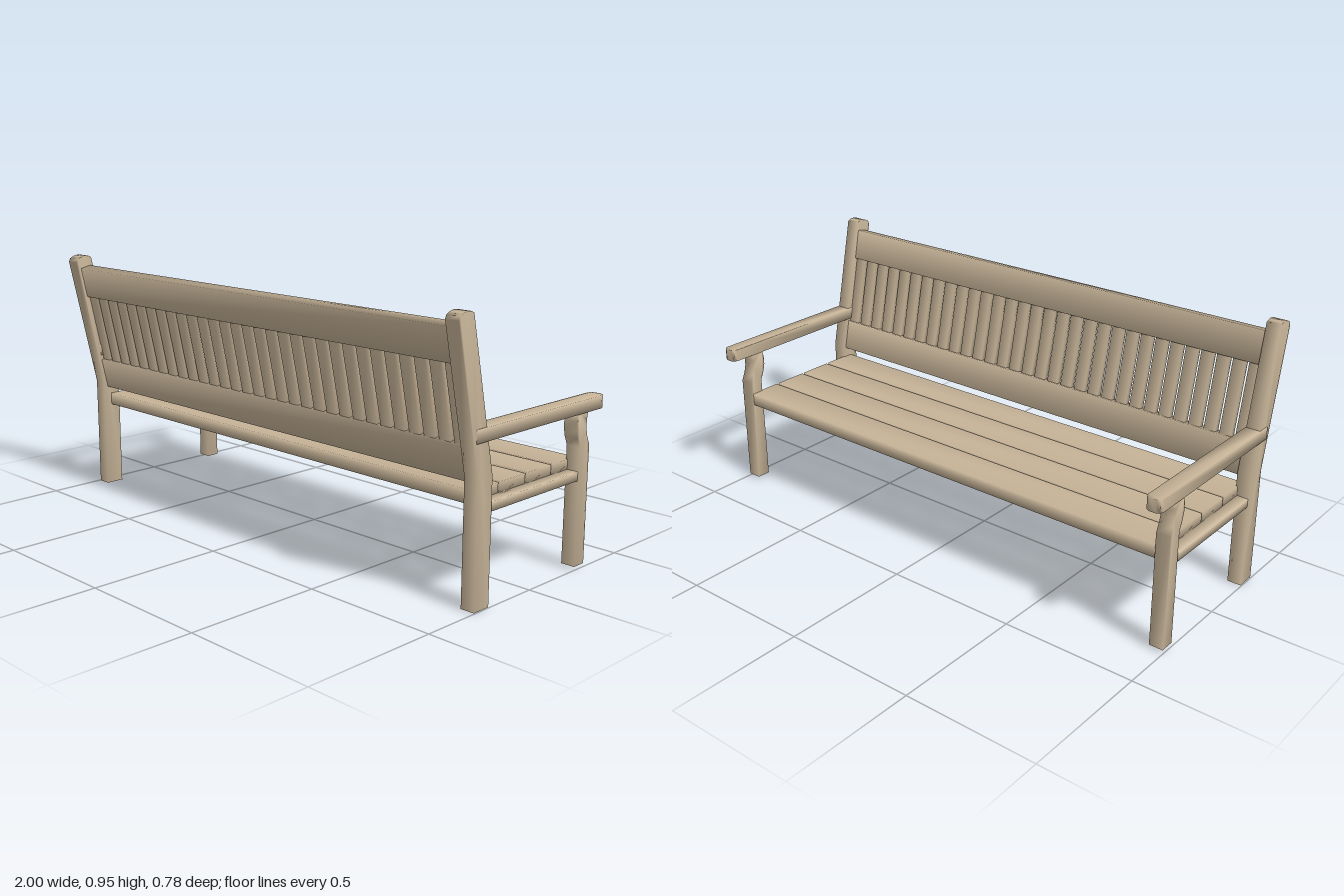
import * as THREE from 'three';
import { mergeVertices } from 'three/addons/utils/BufferGeometryUtils.js';

const LEAN = 0.212; // backrest tilt in radians
const wood = new THREE.MeshStandardMaterial({ color: 0xc8b599 });

// Weld the corners so the shading runs softly around each timber
function soften(geometry) {
  geometry.deleteAttribute('normal');
  geometry.deleteAttribute('uv');
  const welded = mergeVertices(geometry, 1e-4);
  welded.computeVertexNormals();
  return welded;
}

function addPart(parent, name, geometry, x = 0, y = 0, z = 0) {
  const mesh = new THREE.Mesh(soften(geometry), wood);
  mesh.name = name;
  mesh.position.set(x, y, z);
  parent.add(mesh);
  return mesh;
}

function extrude(points, depth) {
  const shape = new THREE.Shape(points.map(([a, b]) => new THREE.Vector2(a, b)));
  const geometry = new THREE.ExtrudeGeometry(shape, { depth, bevelEnabled: false });
  return geometry.translate(0, 0, -depth / 2);
}

// Side profile given as [z, y], with its thickness along x
const sideProfile = (points, width) => extrude(points, width).rotateY(-Math.PI / 2);

// Plan outline given as [x, -z], with its thickness along y
const planProfile = (points, height) => extrude(points, height).rotateX(-Math.PI / 2);

// z of the backrest centre plane at height y
const backZ = (y) => 0.246 + (y - 0.43) * Math.tan(LEAN);

export function createModel() {
  const bench = new THREE.Group();
  bench.name = 'gardenBench';

  const postProfile = [
    [0.21, 0], [0.282, 0], [0.282, 0.43], [0.392, 0.93], [0.386, 0.943],
    [0.37, 0.951], [0.35, 0.955], [0.334, 0.953], [0.322, 0.947], [0.21, 0.43],
  ];
  const legProfile = [
    [-0.312, 0.01], [-0.258, 0.01], [-0.258, 0.43], [-0.244, 0.462], [-0.237, 0.49],
    [-0.237, 0.52], [-0.243, 0.55], [-0.298, 0.55], [-0.291, 0.52], [-0.291, 0.49],
    [-0.298, 0.462], [-0.312, 0.43],
  ];
  const armOutline = [
    [-0.029, -0.293], [0.029, -0.293], [0.029, 0.37], [0.024, 0.383],
    [0.012, 0.39], [-0.012, 0.39], [-0.024, 0.383], [-0.029, 0.37],
  ];

  // End frames: back post, front leg, armrest and seat rail on each side
  for (const side of [1, -1]) {
    const frame = new THREE.Group();
    frame.name = side > 0 ? 'leftEndFrame' : 'rightEndFrame';
    frame.position.x = side * 0.97;
    addPart(frame, 'backPost', sideProfile(postProfile, 0.052));
    addPart(frame, 'frontLeg', sideProfile(legProfile, 0.052));
    addPart(frame, 'armrest', planProfile(armOutline, 0.045), 0, 0.5675, 0);
    addPart(frame, 'seatRail', new THREE.BoxGeometry(0.045, 0.032, 0.48), 0, 0.329, -0.024);
    bench.add(frame);
  }

  // Seat boards running the full length
  const seat = new THREE.Group();
  seat.name = 'seat';
  for (let i = 0; i < 4; i++) {
    addPart(seat, 'seatBoard', new THREE.BoxGeometry(1.9, 0.047, 0.13), 0, 0.3565, -0.24 + i * 0.1413);
  }
  bench.add(seat);

  // Backrest: two wide rails with upright slats between them
  const back = new THREE.Group();
  back.name = 'backrest';
  for (const [name, y] of [['lowerBackRail', 0.4725], ['upperBackRail', 0.8525]]) {
    addPart(back, name, new THREE.BoxGeometry(1.9, 0.118, 0.045), 0, y, backZ(y)).rotation.x = LEAN;
  }
  const slatCount = 31;
  for (let i = 0; i < slatCount; i++) {
    const x = (i - (slatCount - 1) / 2) * 0.0615;
    addPart(back, 'backSlat', new THREE.BoxGeometry(0.045, 0.29, 0.024), x, 0.6625, backZ(0.6625)).rotation.x = LEAN;
  }
  bench.add(back);

  return bench;
}
